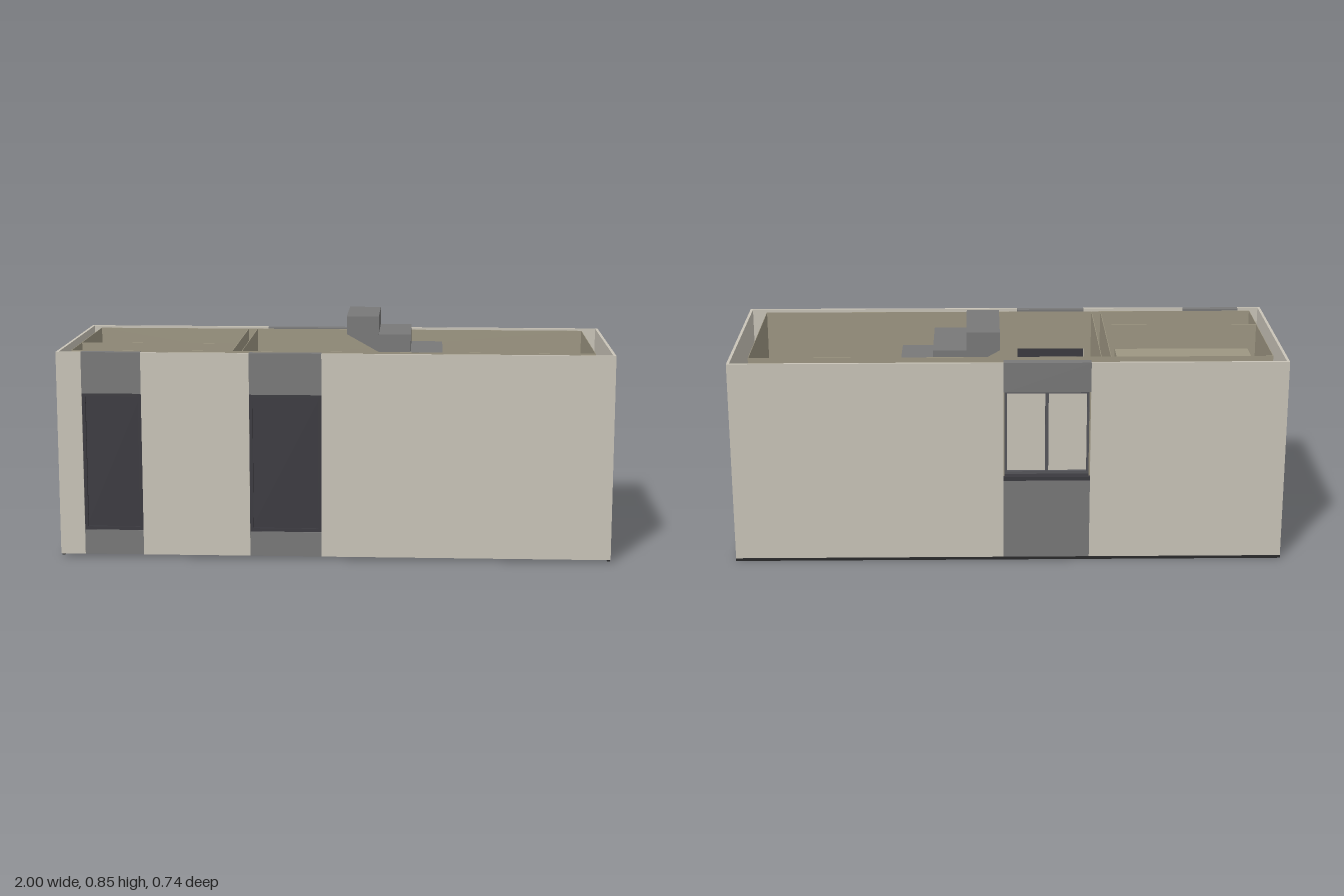
import * as THREE from 'three';

const mat = (name, color, side = THREE.FrontSide) => {
  const m = new THREE.MeshStandardMaterial({ color, side });
  m.name = name;
  return m;
};

export function createModel() {
  const root = new THREE.Group();
  root.name = 'roomModule';
  const cream = mat('cream cladding', 0xc9c4b8);
  const beige = mat('beige lining', 0x9d9682, THREE.DoubleSide);
  const grey = mat('grey concrete', 0x787878);
  const dark = mat('dark door', 0x3a393f);
  const black = mat('black base seal', 0x29292a);
  const frameGrey = mat('window frame grey', 0x55555a);

  const add = (name, geometry, material, parent = root) => {
    const mesh = new THREE.Mesh(geometry, material);
    mesh.name = name;
    parent.add(mesh);
    return mesh;
  };
  // Box given by its minimum and maximum on each axis
  const box = (name, material, x0, x1, y0, y1, z0, z1, parent = root) => {
    const mesh = add(name, new THREE.BoxGeometry(x1 - x0, y1 - y0, z1 - z0), material, parent);
    mesh.position.set((x0 + x1) / 2, (y0 + y1) / 2, (z0 + z1) / 2);
    return mesh;
  };
  // Upright sheet along x with rectangular holes [x0, x1, y0, y1]
  const rect = (path, x0, x1, y0, y1) => {
    path.moveTo(x0, y0).lineTo(x1, y0).lineTo(x1, y1).lineTo(x0, y1).closePath();
    return path;
  };
  const sheet = (name, material, [x0, x1, y0, y1], holes, z, depth) => {
    const shape = rect(new THREE.Shape(), x0, x1, y0, y1);
    for (const h of holes) shape.holes.push(rect(new THREE.Path(), ...h));
    const mesh = add(name, new THREE.ExtrudeGeometry(shape, { depth, bevelEnabled: false }), material);
    mesh.position.z = z;
    return mesh;
  };

  const TOP = 0.755, LOW = 0.01, FLOOR = 0.1;
  const doors = [[-0.91, -0.695], [-0.305, -0.045]];
  const win = [-0.295, 0.018, 0.32, 0.645];

  // Floor slab and seal strips under the outer cladding
  box('floorSlab', grey, -0.955, 0.935, LOW, FLOOR, -0.33, 0.355);
  box('backSeal', black, -1, 1, 0, LOW, -0.367, -0.355);
  for (const s of [-1, 1]) {
    const x = s * 0.995;
    box('sideSeal', black, x - 0.005, x + 0.005, 0, LOW, -0.355, 0.345);
    box('sideCladding', cream, x - 0.005, x + 0.005, LOW, TOP, -0.355, 0.357);
  }

  // Front cladding between the door bays
  const edges = [-1, ...doors.flat(), 1];
  for (let i = 0; i < edges.length; i += 2) {
    box('frontCladding', cream, edges[i], edges[i + 1], LOW, TOP, 0.357, 0.367);
  }

  // Door bays: grey panels above and below, dark leaf with a raised frame, beige reveals
  for (const [x0, x1] of doors) {
    const bay = new THREE.Group();
    bay.name = 'doorBay';
    root.add(bay);
    box('panelAboveDoor', grey, x0, x1, 0.605, TOP, 0.34, 0.366, bay);
    box('panelBelowDoor', grey, x0, x1, LOW, FLOOR, 0.34, 0.366, bay);
    box('doorLeaf', dark, x0, x1, FLOOR, 0.605, 0.342, 0.352, bay);
    for (const x of [x0, x1 - 0.012]) box('doorJamb', dark, x, x + 0.012, FLOOR, 0.605, 0.342, 0.362, bay);
    for (const y of [FLOOR, 0.593]) box('doorRail', dark, x0, x1, y, y + 0.012, 0.342, 0.362, bay);
    box('doorReveal', beige, x0, x1, 0.605, 0.609, 0.312, 0.34, bay);
  }

  // Back cladding with the window bay
  box('backCladding', cream, -1, win[0], LOW, TOP, -0.365, -0.355);
  box('backCladding', cream, win[1], 1, LOW, TOP, -0.365, -0.355);
  box('panelAboveWindow', grey, win[0], win[1], win[3], TOP, -0.365, -0.33);
  box('panelBelowWindow', grey, win[0], win[1], LOW, win[2], -0.365, -0.33);
  box('windowSill', dark, win[0], win[1], win[2] - 0.01, win[2] + 0.004, -0.369, -0.33);
  box('windowHead', beige, win[0], win[1], win[3], win[3] + 0.004, -0.33, -0.28);
  box('innerSill', cream, win[0], win[1], win[2] - 0.006, win[2], -0.33, -0.272);
  for (const x of [win[0], win[1] - 0.004]) box('windowReveal', beige, x, x + 0.004, win[2], win[3], -0.355, -0.29);

  // Window frame with two casements
  const mid = (win[0] + win[1]) / 2;
  box('windowPane', cream, win[0], win[1], win[2], win[3], -0.322, -0.318);
  for (const x of [win[0], mid - 0.006, win[1] - 0.012]) box('windowStile', frameGrey, x, x + 0.012, win[2], win[3], -0.335, -0.31);
  for (const y of [win[2], win[3] - 0.014]) box('windowRail', frameGrey, win[0], win[1], y, y + 0.014, -0.335, -0.31);

  // Thin inner lining
  const t = 0.002;
  sheet('backLining', beige, [-0.95, 0.93, FLOOR, TOP], [win], -0.29 - t, t);
  sheet('frontLining', beige, [-0.95, 0.93, FLOOR - 0.001, TOP],
    doors.map(([a, b]) => [a, b, FLOOR, 0.605]), 0.312, t);
  box('sideLining', beige, -0.952, -0.95, FLOOR, TOP, -0.29, 0.312);
  box('sideLining', beige, 0.93, 0.932, FLOOR, TOP, -0.29, 0.312);

  // Partitions, with a wide opening into the end room
  box('crossPartition', beige, -0.95, -0.38, FLOOR, TOP, 0.12, 0.12 + t);
  for (const x of [-0.37, -0.335]) {
    box('partition', beige, x, x + t, FLOOR, TOP, 0.08, 0.312);
    box('partitionAboveOpening', beige, x, x + t, 0.64, TOP, -0.29, 0.08);
  }
  box('openingHead', beige, -0.37, -0.333, 0.636, 0.64, -0.29, 0.08);
  box('openingJamb', beige, -0.37, -0.333, FLOOR, 0.64, 0.078, 0.08);
  box('raisedPlatform', beige, -0.905, -0.405, 0.62, 0.69, -0.255, 0.02);

  // Stairs: two flights joined by a landing
  const rise = 0.067, run = 0.12, x0 = 0.03, x1 = 0.63, landing = 0.51;
  const flight = (name, heights, underside, z0, z1) => {
    const pts = underside.map(([x, y]) => new THREE.Vector2(x, y));
    for (let i = heights.length - 1; i >= 0; i--) {
      pts.push(new THREE.Vector2(x0 + (i + 1) * run, heights[i]), new THREE.Vector2(x0 + i * run, heights[i]));
    }
    const geo = new THREE.ExtrudeGeometry(new THREE.Shape(pts), { depth: z1 - z0, bevelEnabled: false });
    add(name, geo, grey).position.z = z0;
  };
  const steps = [0, 1, 2, 3, 4];
  flight('upperFlight', steps.map((i) => landing + (5 - i) * rise),
    [[x0, 0.778], [x1, 0.443]], -0.284, 0.013);
  flight('lowerFlight', steps.map((i) => landing - (5 - i) * rise),
    [[x0, FLOOR], [0.15, FLOOR], [x1, 0.37]], 0.05, 0.338);
  box('stairLanding', grey, x1, 0.93, 0.43, landing, -0.289, 0.338);

  return root;
}
